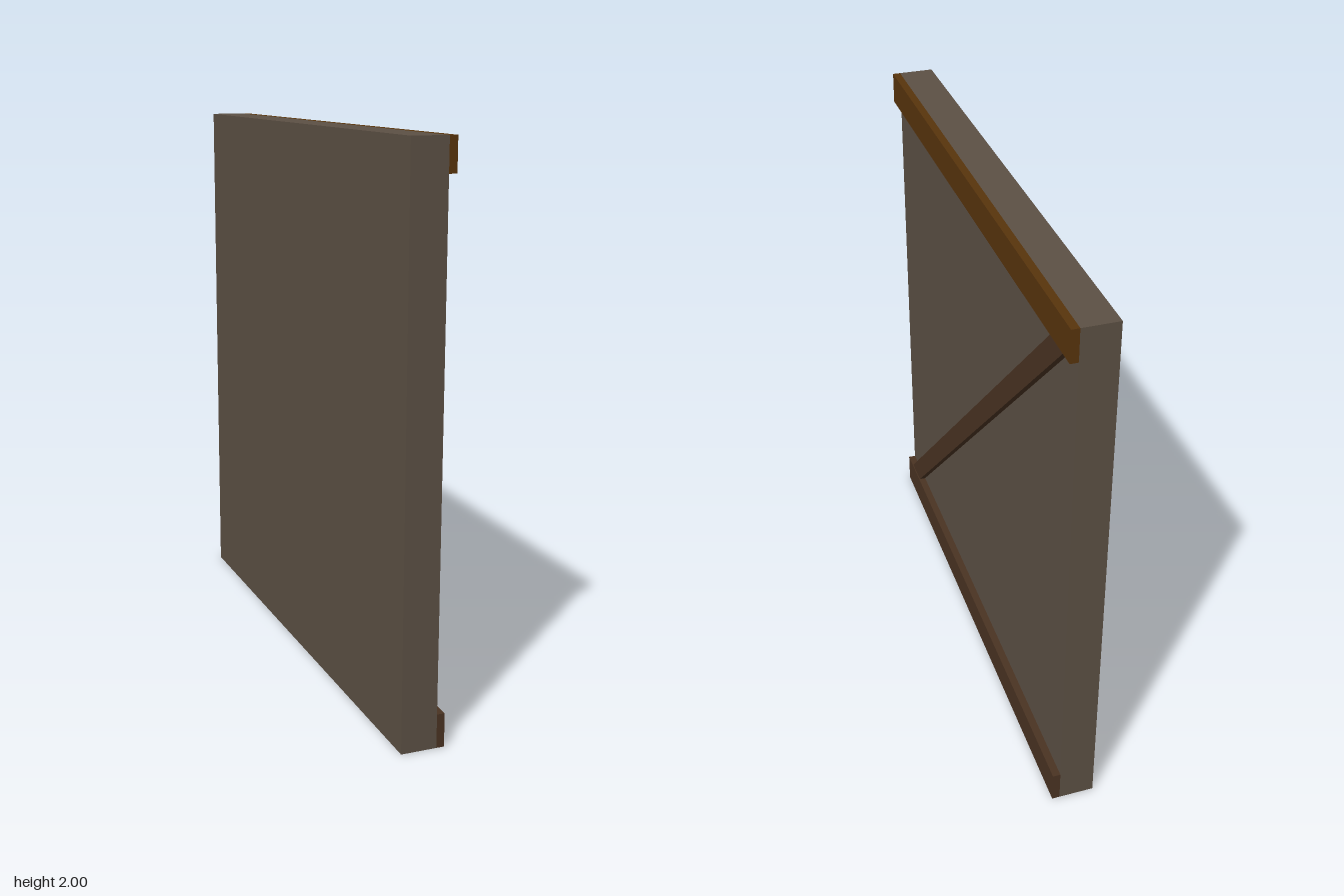
import * as THREE from 'three';

export function createModel() {
  const group = new THREE.Group();
  const material = (name, color) => {
    const m = new THREE.MeshStandardMaterial({ color });
    m.name = name;
    return m;
  };
  const plaster = material('grey brown plaster', 0x5c5044);
  const darkWood = material('dark wood', 0x4a3322);
  const warmWood = material('warm wood', 0x58340c);

  // Box spanning x0..x1 and y0..y1 along the full wall length
  const addBox = (name, mat, x0, x1, y0, y1) => {
    const mesh = new THREE.Mesh(new THREE.BoxGeometry(x1 - x0, y1 - y0, 2), mat);
    mesh.position.set((x0 + x1) / 2, (y0 + y1) / 2, 0);
    mesh.name = name;
    group.add(mesh);
  };
  addBox('wallPanel', plaster, -0.078, 0.05, 0, 2);
  addBox('bottomBeam', darkWood, 0.05, 0.078, 0, 0.12);
  addBox('topBeam', warmWood, 0.05, 0.078, 1.885, 2);

  // Diagonal brace, drawn as (-z, y) and extruded outward along +x
  const outline = new THREE.Shape([
    [-0.935, 0.12], [-0.82, 0.12], [0.94, 1.885], [0.83, 1.885],
  ].map(([u, y]) => new THREE.Vector2(u, y)));
  const geometry = new THREE.ExtrudeGeometry(outline, { depth: 0.025, bevelEnabled: false });
  geometry.rotateY(Math.PI / 2);
  const brace = new THREE.Mesh(geometry, darkWood);
  brace.position.x = 0.05;
  brace.name = 'diagonalBrace';
  group.add(brace);

  return group;
}
